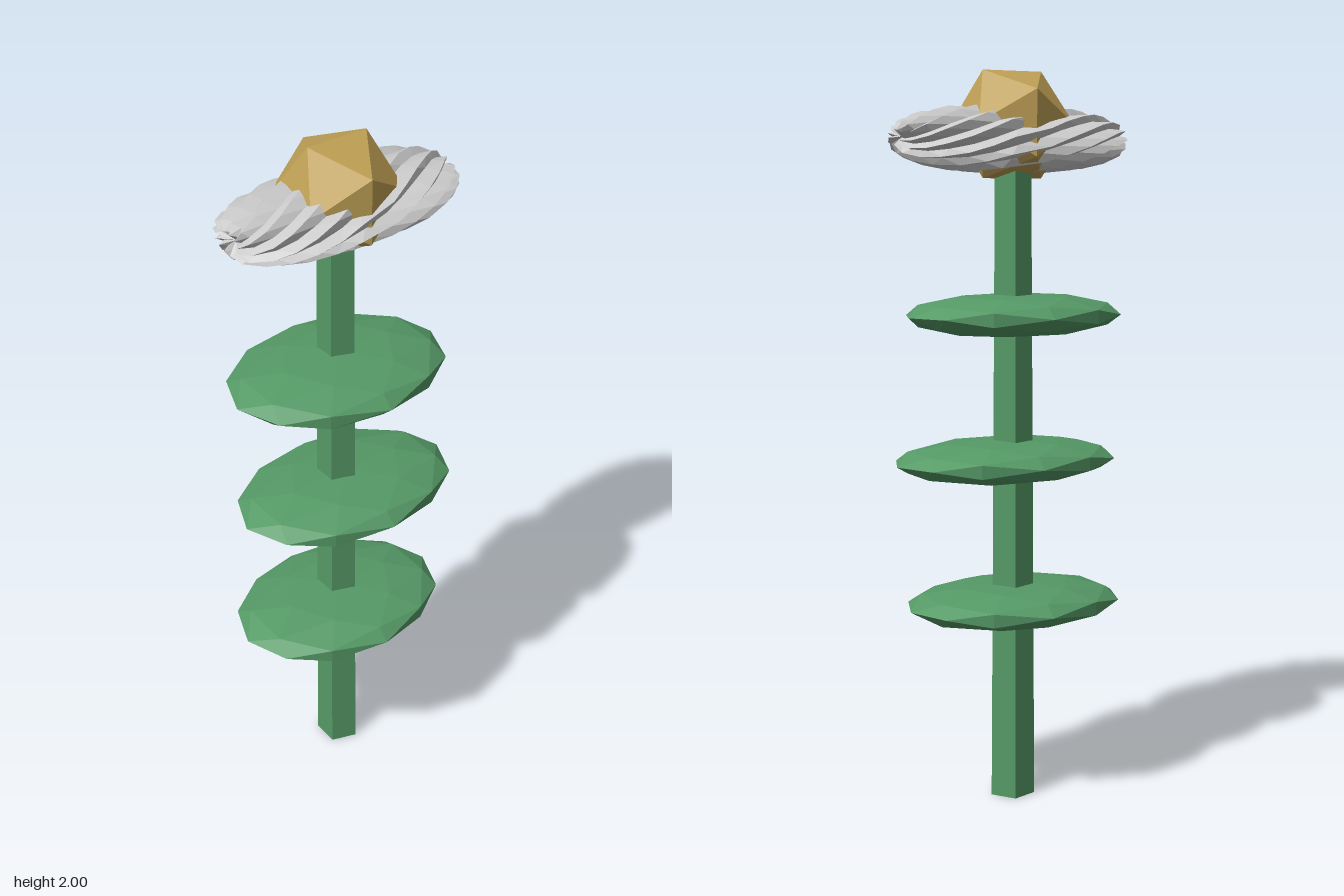
import * as THREE from 'three';

const CX = -0.012, CZ = -0.015; // axis of the stem

function material(color) {
  return new THREE.MeshStandardMaterial({ color, flatShading: true });
}

function addPart(group, name, geometry, mat, x, y, z) {
  const mesh = new THREE.Mesh(geometry, mat);
  mesh.name = name;
  mesh.position.set(x, y, z);
  group.add(mesh);
  return mesh;
}

// Long spiky bloom: a lathe along x whose vertices alternate between ridge and hollow
function petalGeometry() {
  const profile = [
    [0, -0.31], [0.05, -0.32], [0.085, -0.305], [0.115, -0.26], [0.135, -0.21],
    [0.148, -0.155], [0.156, -0.09], [0.16, -0.03], [0.16, 0.04], [0.156, 0.1],
    [0.147, 0.16], [0.128, 0.22], [0.105, 0.265], [0.075, 0.3], [0.035, 0.315], [0, 0.31],
  ].map(([r, x]) => new THREE.Vector2(r, x));
  const segments = 24;
  const geo = new THREE.LatheGeometry(profile, segments);
  const pos = geo.attributes.position;
  for (let k = 0; k < pos.count; k++) {
    const i = Math.floor(k / profile.length), j = k % profile.length;
    const ridge = (i + j) % 2 === 0;
    const s = ridge ? 1 : 0.86;
    const along = pos.getY(k);
    const push = ridge && profile[j].x > 0 ? 0.018 * Math.sign(along) : 0;
    pos.setXYZ(k, pos.getX(k) * s * 0.57, along + push, pos.getZ(k) * s);
  }
  geo.rotateZ(-Math.PI / 2);
  geo.computeVertexNormals();
  return geo;
}

export function createModel() {
  const group = new THREE.Group();
  group.name = 'flower';
  const green = material(0x559966);
  const gold = material(0xbfa055);
  const grey = material(0xcccccc);

  // Five-sided tapering stem
  const stem = new THREE.CylinderGeometry(0.052, 0.064, 1.78, 5);
  stem.rotateY(Math.PI / 2);
  addPart(group, 'stem', stem, green, CX, 0.89, CZ);

  // Flat faceted leaves, alternating slightly to either side
  [0.548, 0.95, 1.348].forEach((y, i) => {
    const odd = i % 2 === 1;
    const leaf = addPart(group, 'leaf' + (i + 1), new THREE.IcosahedronGeometry(1, 1), green,
      odd ? 0 : -0.025, y, 0);
    leaf.scale.set(odd ? 0.326 : 0.314, 0.061, odd ? 0.226 : 0.235);
  });

  // Flower head
  addPart(group, 'petals', petalGeometry(), grey, 0, 1.82, CZ);
  addPart(group, 'flowerCentre', new THREE.IcosahedronGeometry(0.167, 0), gold, CX, 1.858, CZ);
  return group;
}
